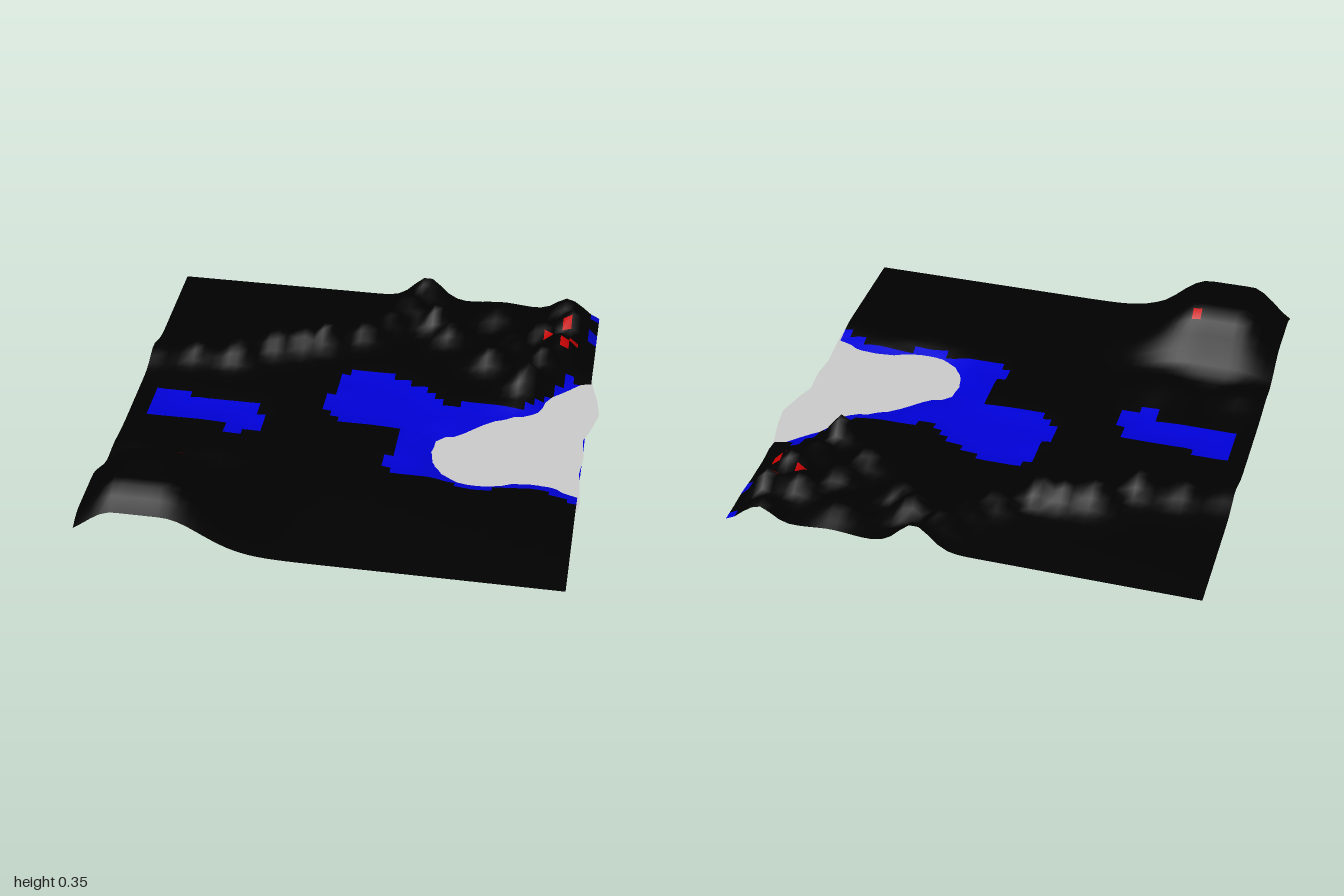
import * as THREE from 'three';

const N = 50, X0 = -1, Z0 = -0.975, CELL = 0.039, SEA = 0.08, BASE = 0.107;

// Shoreline of the bay, open towards +x
const shore = [
  [0.95, -0.44], [0.9, -0.43], [0.86, -0.38], [0.78, -0.31], [0.74, -0.18], [0.6, -0.12], [0.5, -0.05],
  [0.42, 0.03], [0.34, 0.06], [0.32, 0.15], [0.36, 0.26], [0.42, 0.32], [0.53, 0.35], [0.65, 0.32],
  [0.77, 0.29], [0.87, 0.32], [0.95, 0.36],
];
const basin = [[1.3, -0.44], ...shore, [1.3, 0.36]];

// Wet ground: a small pond and the wide area round the bay
const pond = [
  [-0.91, -0.08], [-0.75, -0.08], [-0.75, -0.02], [-0.69, -0.04], [-0.46, -0.04], [-0.44, 0.04], [-0.41, 0.05],
  [-0.41, 0.16], [-0.49, 0.16], [-0.49, 0.19], [-0.55, 0.19], [-0.59, 0.13], [-0.68, 0.1], [-0.91, 0.11],
];
const lake = [
  [-0.08, -0.35], [0.06, -0.35], [0.17, -0.3], [0.25, -0.24], [0.35, -0.16], [0.45, -0.2], [0.68, -0.2],
  [0.74, -0.26], [0.8, -0.34], [0.83, -0.45], [0.87, -0.45], [0.9, -0.42], [0.96, -0.4], [0.96, 0.46],
  [0.88, 0.4], [0.79, 0.36], [0.6, 0.36], [0.6, 0.39], [0.45, 0.38], [0.4, 0.35], [0.18, 0.35], [0.12, 0.29],
  [0.18, 0.2], [0.17, 0.06], [0.05, 0.02], [-0.1, 0.02], [-0.18, -0.05], [-0.16, -0.15], [-0.11, -0.2],
  [-0.16, -0.24], [-0.14, -0.3],
];

// Ridge summits: x, z, height, radius
const peaks = [
  [-0.97, -0.33, 0.155, 0.09], [-0.8, -0.36, 0.18, 0.08], [-0.62, -0.37, 0.2, 0.08], [-0.46, -0.48, 0.2, 0.09],
  [-0.34, -0.51, 0.2, 0.08], [-0.24, -0.53, 0.225, 0.06], [-0.08, -0.63, 0.18, 0.08], [0.01, -0.73, 0.18, 0.08],
  [0.08, -0.84, 0.2, 0.08], [0.15, -0.97, 0.22, 0.09], [0.22, -0.77, 0.21, 0.07], [0.3, -0.68, 0.18, 0.07],
  [0.5, -0.51, 0.19, 0.08], [0.58, -0.64, 0.175, 0.08], [0.67, -0.37, 0.225, 0.065], [0.73, -0.53, 0.2, 0.07],
  [0.79, -0.63, 0.205, 0.08], [0.83, -0.8, 0.225, 0.07], [0.71, -0.74, 0.19, 0.08], [0.5, -0.85, 0.17, 0.1],
  [0.8, -0.94, 0.19, 0.07], [-0.9, 0.37, 0.145, 0.1], [-0.55, 0.36, 0.14, 0.12],
];

// Signed distance to an outline, positive inside
function signedDistance(poly, x, z) {
  let best = Infinity, inside = false;
  poly.forEach(([ax, az], i) => {
    const [bx, bz] = poly[(i + 1) % poly.length];
    const dx = bx - ax, dz = bz - az;
    const t = THREE.MathUtils.clamp(((x - ax) * dx + (z - az) * dz) / (dx * dx + dz * dz), 0, 1);
    best = Math.min(best, Math.hypot(x - ax - t * dx, z - az - t * dz));
    if ((az > z) !== (bz > z) && x < ax + (z - az) * dx / dz) inside = !inside;
  });
  return inside ? best : -best;
}

function groundHeight(x, z) {
  const bay = signedDistance(basin, x, z);
  if (bay > 0) {
    // Bay floor, deepest near the front and rising slowly to the back and the open edge
    const bowl = Math.exp(-((x - 0.6) ** 2) / (x > 0.6 ? 0.05 : 0.03) - ((z - 0.2) ** 2) / (z > 0.2 ? 0.025 : 0.06));
    return SEA - Math.min(bay / 0.12, 1) * (0.03 + 0.05 * bowl);
  }
  // Flat-topped hill
  const dx = Math.max((-0.83 - x) * 0.85, (x + 0.64) * 0.65, 0), dz = Math.max(0.68 - z, z - 0.88, 0);
  let y = BASE + 0.245 * Math.exp(-(dx * dx + dz * dz) / 0.02);
  // Craggy ridge
  for (const [px, pz, h, r] of peaks) {
    const d = Math.hypot(x - px, z - pz) / r;
    y = Math.max(y, BASE + (h - BASE) * Math.exp(-d * d));
  }
  // Shallow wet ground and the slope down to the shore
  const wet = Math.max(signedDistance(lake, x, z), signedDistance(pond, x, z));
  y -= 0.012 * THREE.MathUtils.smoothstep(wet, -0.04, 0.06);
  y -= 0.032 * THREE.MathUtils.smoothstep(x, 0.87, 0.95) * THREE.MathUtils.smoothstep(-z, 0.4, 0.6);
  return THREE.MathUtils.lerp(SEA, y, THREE.MathUtils.smoothstep(-bay, 0, 0.09));
}

const redCells = [[-0.64, 0.645], [0.74, -0.69], [0.82, -0.77], [0.82, -0.615], [0.855, -0.655]];

function surfaceOf(x, z) {
  if (redCells.some(([a, b]) => Math.abs(a - x) < CELL / 2 && Math.abs(b - z) < CELL / 2)) return 'redPatches';
  const corner = x > 0.925 && (z < -0.93 || Math.abs(z + 0.78) < 0.02);
  if (corner || signedDistance(lake, x, z) > 0 || signedDistance(pond, x, z) > 0) return 'wetGround';
  return 'land';
}

export function createModel() {
  const model = new THREE.Group();
  model.name = 'terrain';
  const addMesh = (name, geometry, color) => {
    const material = new THREE.MeshStandardMaterial({ color, side: THREE.DoubleSide });
    const mesh = new THREE.Mesh(geometry, material);
    mesh.name = name;
    model.add(mesh);
  };

  // Height field, with its cells sorted by surface
  const positions = [], all = [];
  const cells = { land: [], wetGround: [], redPatches: [] };
  for (let j = 0; j <= N; j++) {
    for (let i = 0; i <= N; i++) {
      const x = X0 + i * CELL, z = Z0 + j * CELL;
      positions.push(x, Math.max(0, groundHeight(x, z)), z);
      if (i === N || j === N) continue;
      const a = j * (N + 1) + i, c = a + N + 1;
      const quad = [a, c, a + 1, a + 1, c, c + 1];
      all.push(...quad);
      cells[surfaceOf(x + CELL / 2, z + CELL / 2)].push(...quad);
    }
  }
  const field = new THREE.BufferGeometry();
  field.setAttribute('position', new THREE.Float32BufferAttribute(positions, 3));
  field.setIndex(all);
  field.computeVertexNormals();
  const colors = { land: 0x000000, wetGround: 0x0000d8, redPatches: 0xc80000 };
  for (const name of Object.keys(cells)) {
    field.setIndex(cells[name]);
    addMesh(name, field.toNonIndexed(), colors[name]);
  }

  // Water sheet, tucked a little under the shore and running past the open edge
  const tucked = shore.slice(0, -3).map(([x, z]) => [0.95 + (x - 0.95) * 1.06, 0.1 + (z - 0.1) * 1.07]);
  const seaward = [
    [0.78, 0.38], [0.88, 0.41], [0.95, 0.46], [0.962, 0.42], [0.955, 0.3], [0.945, 0.2], [0.955, 0.1],
    [0.945, -0.03], [0.97, -0.1], [1, -0.22], [0.985, -0.32], [0.96, -0.42],
  ];
  const outline = [...tucked, ...seaward].map(([x, z]) => new THREE.Vector2(x, -z));
  const water = new THREE.ShapeGeometry(new THREE.Shape(outline));
  water.rotateX(-Math.PI / 2).translate(0, SEA, 0);
  addMesh('water', water, 0xcccccc);
  return model;
}
